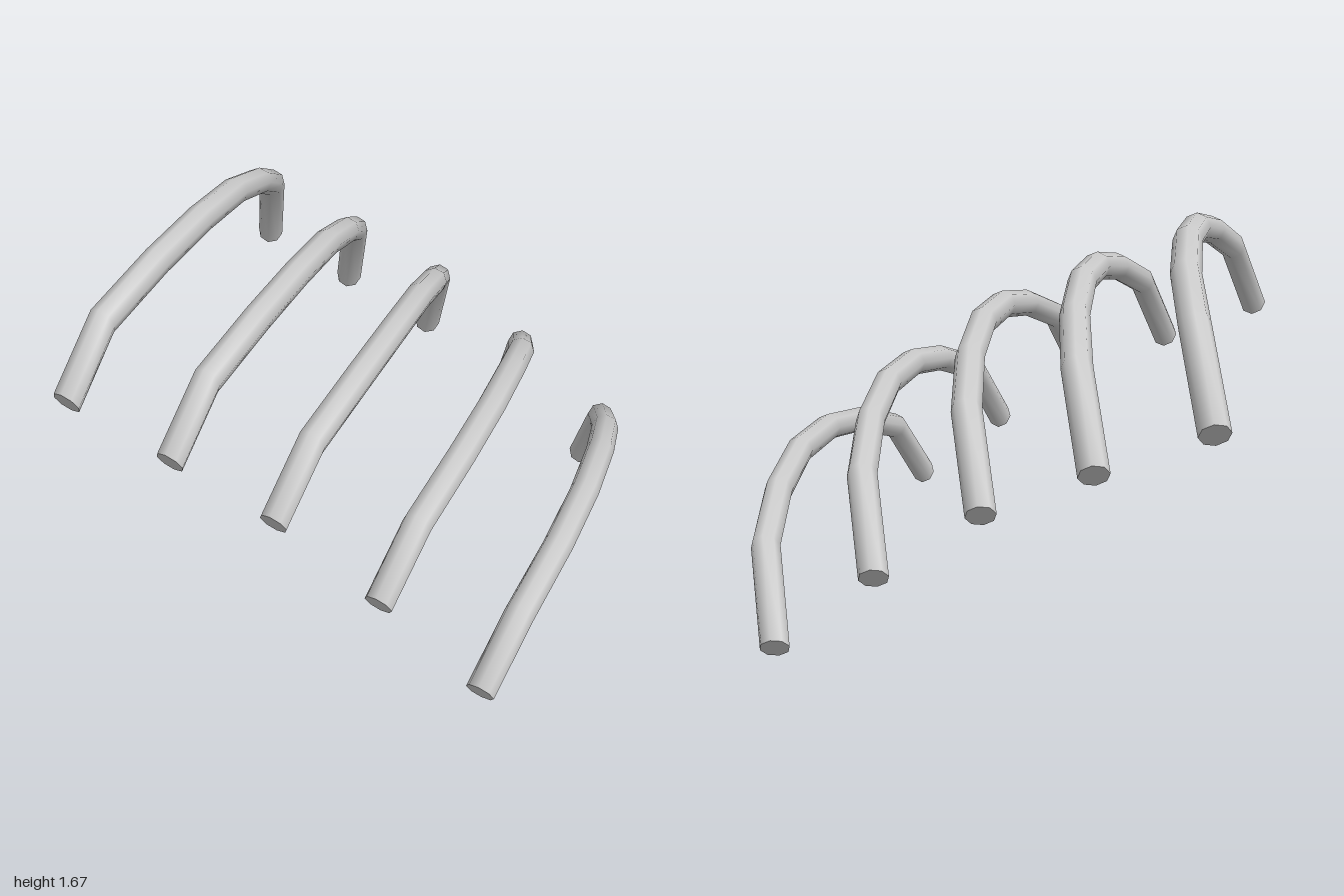
import * as THREE from 'three';

const RADIUS = 0.059;
const SIDES = 8;

// Cross-sections of one bar from front to back: [x, y, z, slope in x, slope in y]
const SECTIONS = [
  [0.765, 0.283, 0.962, 0.2, 0.5],
  [0.853, 0.56, 0.785, 0.16, 0.26],
  [0.913, 0.655, 0.455, 0.1, 0.13],
  [0.938, 0.685, 0.135, 0, 0],
  [0.93, 0.655, -0.2, -0.08, -0.12],
  [0.893, 0.555, -0.507, -0.16, -0.23],
  [0.82, 0.405, -0.795, -0.3, -0.5],
  [0.722, 0.053, -0.953, -0.35, -0.85],
];

// Offsets of the five bars, stepping down from right to left
const OFFSETS = [[-1.66, 0.934], [-1.243, 0.765], [-0.829, 0.589], [-0.412, 0.317], [0, 0]];

function barGeometry() {
  const pos = [], index = [];
  const rings = SECTIONS.map(([x, y, z, sx, sy]) => {
    const t = new THREE.Vector3(sx, sy, -1).normalize();
    const v = new THREE.Vector3().crossVectors(t, new THREE.Vector3(1, 0, 0)).normalize();
    const u = new THREE.Vector3().crossVectors(v, t);
    return Array.from({ length: SIDES }, (_, j) => {
      const a = (j / SIDES) * Math.PI * 2;
      return new THREE.Vector3(x, y, z)
        .addScaledVector(u, RADIUS * Math.cos(a))
        .addScaledVector(v, RADIUS * Math.sin(a));
    });
  });
  // Wall
  rings.forEach((ring, i) => {
    ring.forEach((p, j) => {
      pos.push(p.x, p.y, p.z);
      if (i === rings.length - 1) return;
      const a = i * SIDES + j, b = i * SIDES + (j + 1) % SIDES;
      index.push(a, b, a + SIDES, b, b + SIDES, a + SIDES);
    });
  });
  // End caps with their own vertices, so the rims stay sharp
  [rings[0].slice().reverse(), rings[rings.length - 1]].forEach((ring) => {
    const start = pos.length / 3;
    ring.forEach((p) => pos.push(p.x, p.y, p.z));
    for (let j = 1; j < SIDES - 1; j++) index.push(start, start + j, start + j + 1);
  });
  const geo = new THREE.BufferGeometry();
  geo.setAttribute('position', new THREE.Float32BufferAttribute(pos, 3));
  geo.setIndex(index);
  geo.computeVertexNormals();
  return geo;
}

export function createModel() {
  const group = new THREE.Group();
  group.name = 'curvedBars';
  const geo = barGeometry();
  const material = new THREE.MeshStandardMaterial({ color: 0xcccccc });
  OFFSETS.forEach(([x, y], i) => {
    const bar = new THREE.Mesh(geo, material);
    bar.name = `curvedBar${i + 1}`;
    bar.position.set(x, y, 0);
    group.add(bar);
  });
  return group;
}
